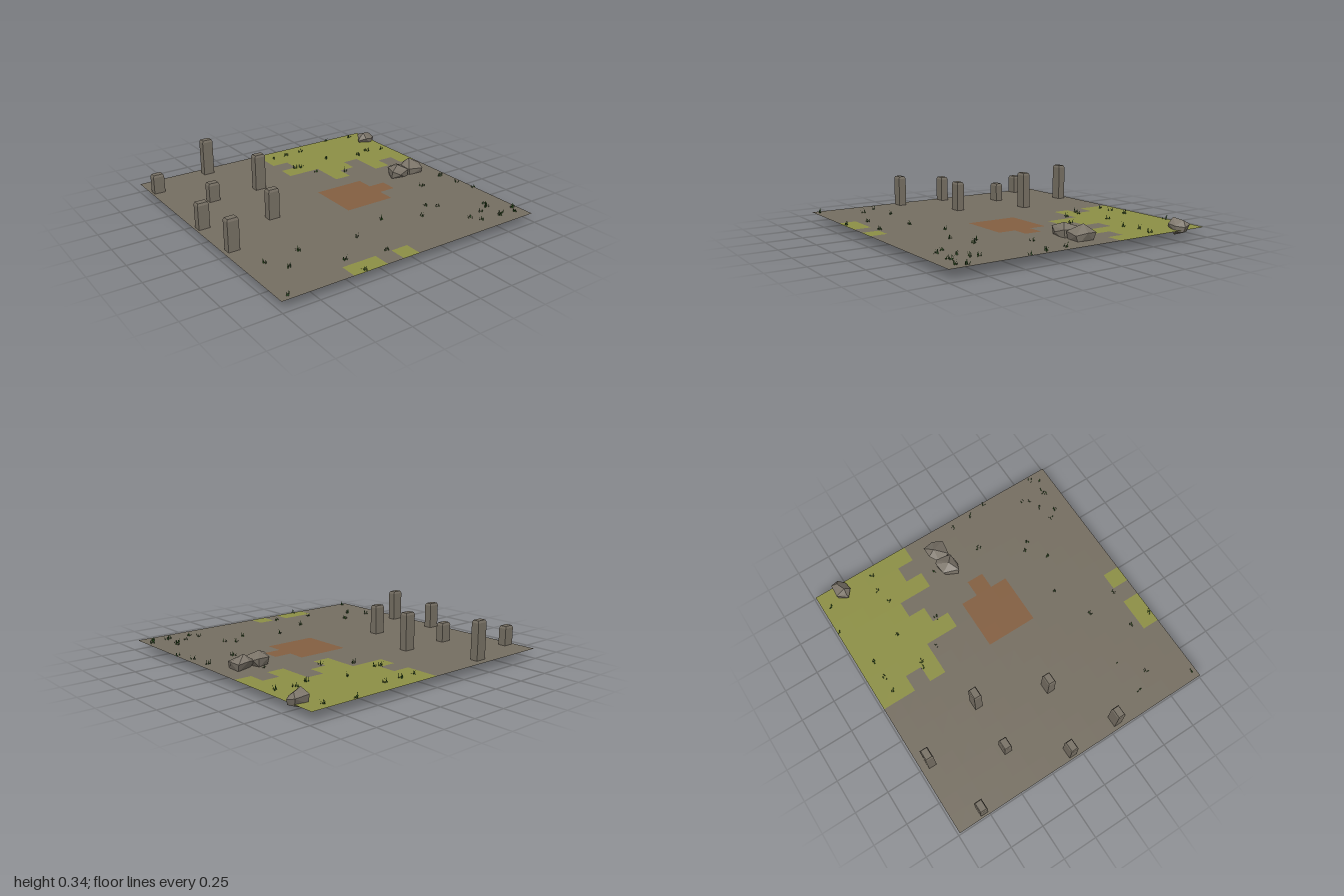
import * as THREE from 'three';
import { ConvexGeometry } from 'three/addons/geometries/ConvexGeometry.js';

const GROUND_Y = 0.073;
const mat = (name, color, extra = {}) => new THREE.MeshStandardMaterial({ name, color, ...extra });

function named(geometry, material, name) {
  const m = new THREE.Mesh(geometry, material);
  m.name = name;
  return m;
}

// Floor tiles: s = stone, g = moss, d = bare earth
const TILES = [
  'ssssssssgggggggg',
  'ssssssssgggggggg',
  'sssssssssggggggg',
  'ssssssssgggggggg',
  'ssssssssssggsggg',
  'ssssssssssgssgsg',
  'ssssssssssssssss',
  'ssssssssdddsssss',
  'ssssssssddddssss',
  'ssssssssdddsssss',
  'ssssssssssssssss',
  'ssssssssssssssss',
  'ssssssssssssssss',
  'ssssssssssssssss',
  'ssssssssssssssss',
  'ssssggsgssssssss',
];

function tileGeometry(key) {
  const x0 = -0.998, z0 = -0.987, s = 0.1234;
  const pos = [];
  TILES.forEach((row, r) => [...row].forEach((c, i) => {
    if (c !== key) return;
    const a = x0 + i * s, b = a + s, n = z0 + r * s, f = n + s, y = GROUND_Y;
    pos.push(a, y, n, a, y, f, b, y, f, a, y, n, b, y, f, b, y, n);
  }));
  const g = new THREE.BufferGeometry();
  g.setAttribute('position', new THREE.Float32BufferAttribute(pos, 3));
  g.computeVertexNormals();
  return g;
}

// Square pillar with a bevelled top
function pillarGeometry(top) {
  const w = 0.08, d = 0.056, h = top - GROUND_Y, bevel = 0.016;
  const g = new THREE.BoxGeometry(w, h, d, 1, 2, 1);
  const p = g.attributes.position;
  for (let i = 0; i < p.count; i++) {
    const y = p.getY(i);
    if (y > h * 0.25) {
      p.setX(i, p.getX(i) * 0.84);
      p.setZ(i, p.getZ(i) * 0.78);
    } else if (y > -h * 0.25) p.setY(i, h / 2 - bevel);
  }
  const flat = g.toNonIndexed();
  flat.computeVertexNormals();
  flat.translate(0, h / 2, 0);
  return flat;
}

// x, z, top height
const PILLARS = [
  [-0.49, -0.908, 0.34], [-0.942, -0.785, 0.21], [-0.686, -0.432, 0.208],
  [-0.317, -0.432, 0.335], [-0.942, -0.08, 0.257], [-0.49, 0.045, 0.283],
  [-0.93, 0.3, 0.294],
];

// Corner points of each boulder
const ROCKS = [
  [[0.58, 0.13, -0.01], [0.58, 0.075, -0.02], [0.62, 0.125, -0.12], [0.62, 0.07, -0.1],
    [0.71, 0.13, -0.13], [0.7, 0.07, -0.12], [0.74, 0.12, -0.11], [0.72, 0.125, 0],
    [0.72, 0.05, -0.01], [0.655, 0.16, -0.05], [0.655, 0.005, -0.06], [0.64, 0.1, 0.012]],
  [[0.715, 0.11, -0.095], [0.74, 0.07, -0.08], [0.787, 0.13, -0.138], [0.867, 0.12, -0.138],
    [0.86, 0.07, -0.12], [0.878, 0.125, -0.06], [0.85, 0.11, 0.012], [0.85, 0.05, -0.01],
    [0.735, 0.12, -0.005], [0.745, 0.06, -0.01], [0.798, 0.17, -0.09], [0.785, 0.025, -0.065]],
  [[0.842, 0.085, -0.787], [0.86, 0.115, -0.79], [0.883, 0.12, -0.856], [0.885, 0.06, -0.845],
    [0.98, 0.11, -0.85], [0.97, 0.06, -0.83], [0.997, 0.095, -0.79], [0.985, 0.06, -0.785],
    [0.947, 0.1, -0.75], [0.945, 0.06, -0.755], [0.888, 0.11, -0.743], [0.89, 0.15, -0.785],
    [0.96, 0.135, -0.81], [0.89, 0.028, -0.8]],
];

// Grass clump centres, x and z
const TUFTS = [
  0.64, -0.975, 0.85, -0.93, 0.07, -0.87, 0.18, -0.87, 0.32, -0.88, 0.41, -0.64,
  0.1, -0.61, 0.15, -0.59, 0.78, -0.59, 0.66, -0.55, 0.9, -0.56, 0.19, -0.45,
  0.37, -0.335, 0.69, -0.16, 0.68, 0.21, 0.915, 0.14, 0.93, 0.3, 0.965, 0.44,
  0.08, 0.48, 0.46, 0.49, 0.525, 0.54, 0.33, 0.6, -0.2, 0.6, -0.605, 0.545,
  -0.86, 0.56, -0.76, 0.69, -0.435, 0.805, -0.16, 0.85, -0.94, 0.95, -0.425, 0.97,
  0.585, 0.805, 0.63, 0.87, 0.71, 0.775, 0.815, 0.7, 0.8, 0.75, 0.77, 0.885,
  0.81, 0.87, 0.94, 0.85, 0.91, 0.9,
];

let seed = 7;
function rand() {
  seed = (seed * 16807) % 2147483647;
  return seed / 2147483647;
}

// Leaning triangular blades for all clumps, shared between two greens
function grassGeometries() {
  const sets = [[], []];
  for (let i = 0; i < TUFTS.length; i += 2) {
    for (let b = 0; b < 6; b++) {
      const x = TUFTS[i] + (rand() - 0.5) * 0.03, z = TUFTS[i + 1] + (rand() - 0.5) * 0.026;
      const a = rand() * Math.PI * 2, lean = 0.004 + rand() * 0.01;
      const h = 0.018 + rand() * 0.02, w = 0.0035;
      const cx = Math.cos(a), cz = Math.sin(a);
      sets[b % 2].push(
        x - cz * w, GROUND_Y, z + cx * w,
        x + cz * w, GROUND_Y, z - cx * w,
        x + cx * lean, GROUND_Y + h, z + cz * lean);
    }
  }
  return sets.map((pos) => {
    const g = new THREE.BufferGeometry();
    g.setAttribute('position', new THREE.Float32BufferAttribute(pos, 3));
    g.computeVertexNormals();
    return g;
  });
}

export function createModel() {
  seed = 7;
  const both = { side: THREE.DoubleSide };
  const stone = mat('stoneGround', 0x756e61, both);
  const moss = mat('mossGround', 0x8c8f45, both);
  const earth = mat('earthGround', 0x835f41, both);
  const pillarStone = mat('pillarStone', 0x777064);
  const rock = mat('rock', 0x7b7469, { flatShading: true });
  const greens = [mat('grassGreen', 0x35691f, both), mat('darkGrassGreen', 0x24481b, both)];

  const model = new THREE.Group();
  model.name = 'ruinField';

  // Ground
  const ground = new THREE.Group();
  ground.name = 'ground';
  ground.add(named(tileGeometry('s'), stone, 'stoneTiles'),
    named(tileGeometry('g'), moss, 'mossTiles'),
    named(tileGeometry('d'), earth, 'earthTiles'));

  // Pillars
  const pillars = new THREE.Group();
  pillars.name = 'pillars';
  for (const [x, z, top] of PILLARS) {
    const p = named(pillarGeometry(top), pillarStone, 'pillar');
    p.position.set(x, GROUND_Y, z);
    pillars.add(p);
  }

  // Boulders
  const rocks = new THREE.Group();
  rocks.name = 'rocks';
  for (const pts of ROCKS) {
    rocks.add(named(new ConvexGeometry(pts.map((p) => new THREE.Vector3(...p))), rock, 'rock'));
  }

  // Grass
  const grass = new THREE.Group();
  grass.name = 'grass';
  grassGeometries().forEach((g, i) => grass.add(named(g, greens[i], 'grassBlades')));

  model.add(ground, pillars, rocks, grass);
  return model;
}
